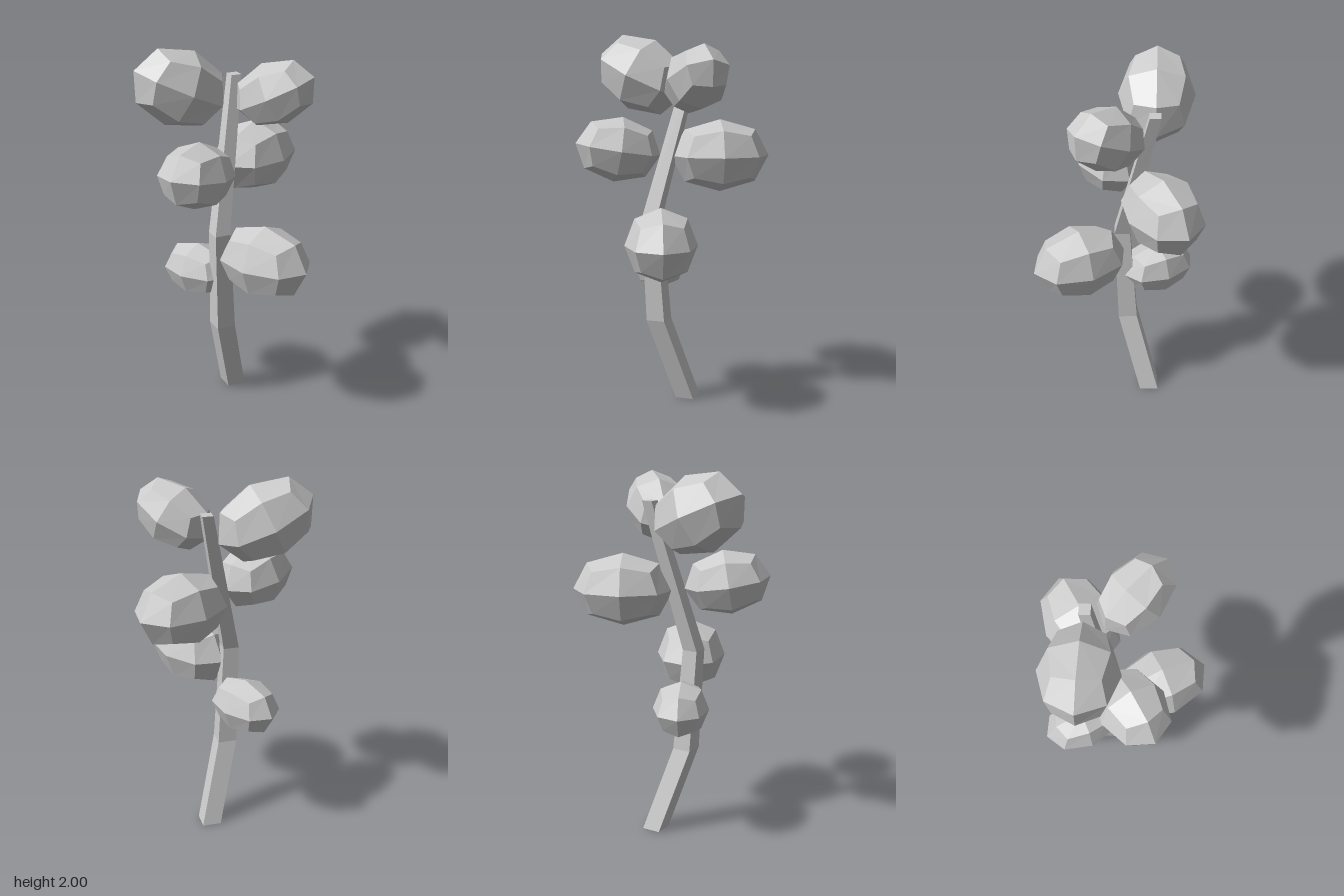
import * as THREE from 'three';

const material = new THREE.MeshStandardMaterial({ color: 0xcccccc, flatShading: true });

// Four-sided stem, bent at two joints: [y, z, radius] from the ground up
function createStem() {
  const rings = [[0, -0.095, 0.073], [0.46, 0.078, 0.073], [1.02, 0.118, 0.06], [1.83, -0.12, 0.041]];
  const geometry = new THREE.CylinderGeometry(1, 1, 3, 4, 3);
  const pos = geometry.attributes.position;
  for (let i = 0; i < pos.count; i++) {
    const [y, z, r] = rings[Math.round(pos.getY(i) + 1.5)];
    pos.setXYZ(i, -0.035 + pos.getX(i) * r, y, z + pos.getZ(i) * r);
  }
  geometry.computeVertexNormals();
  const stem = new THREE.Mesh(geometry, material);
  stem.name = 'stem';
  return stem;
}

// Faceted pod: a cube split two by two on each side and rounded off
function createPodGeometry() {
  const geometry = new THREE.BoxGeometry(2, 2, 2, 2, 2, 2);
  const pos = geometry.attributes.position;
  const v = new THREE.Vector3();
  const reach = [0, 1, 0.72, 0.57]; // face centre, edge, corner
  for (let i = 0; i < pos.count; i++) {
    v.fromBufferAttribute(pos, i);
    v.multiplyScalar(reach[Math.round(v.lengthSq())]);
    pos.setXYZ(i, v.x, v.y, v.z);
  }
  geometry.computeVertexNormals();
  return geometry;
}

export function createModel() {
  const model = new THREE.Group();
  model.name = 'leafyStem';
  model.add(createStem());

  // centre, half sizes (length, height, width), outward direction (x, z), upward tilt in degrees
  const pods = [
    ['upperLeftLeaf', [0.215, 1.77, -0.03], [0.228, 0.166, 0.163], [1, 0], 26],
    ['upperRightLeaf', [-0.26, 1.785, 0.085], [0.27, 0.205, 0.2], [-0.73, 0.68], 25],
    ['middleFrontLeaf', [-0.095, 1.395, 0.285], [0.23, 0.174, 0.178], [-0.055, 0.22], 9],
    ['middleBackLeaf', [0.04, 1.355, -0.25], [0.267, 0.195, 0.193], [0.08, -0.255], 0],
    ['lowerLeftLeaf', [0.235, 0.923, 0.175], [0.265, 0.195, 0.19], [0.25, 0.09], 0],
    ['lowerRightLeaf', [-0.2, 0.747, 0.007], [0.212, 0.148, 0.15], [-0.2, -0.07], 0],
  ];
  const geometry = createPodGeometry();
  for (const [name, centre, size, [dx, dz], tilt] of pods) {
    const pod = new THREE.Mesh(geometry, material);
    pod.name = name;
    pod.position.set(...centre);
    pod.scale.set(...size);
    pod.rotation.set(0, Math.atan2(-dz, dx), THREE.MathUtils.degToRad(tilt), 'YZX');
    model.add(pod);
  }
  return model;
}
